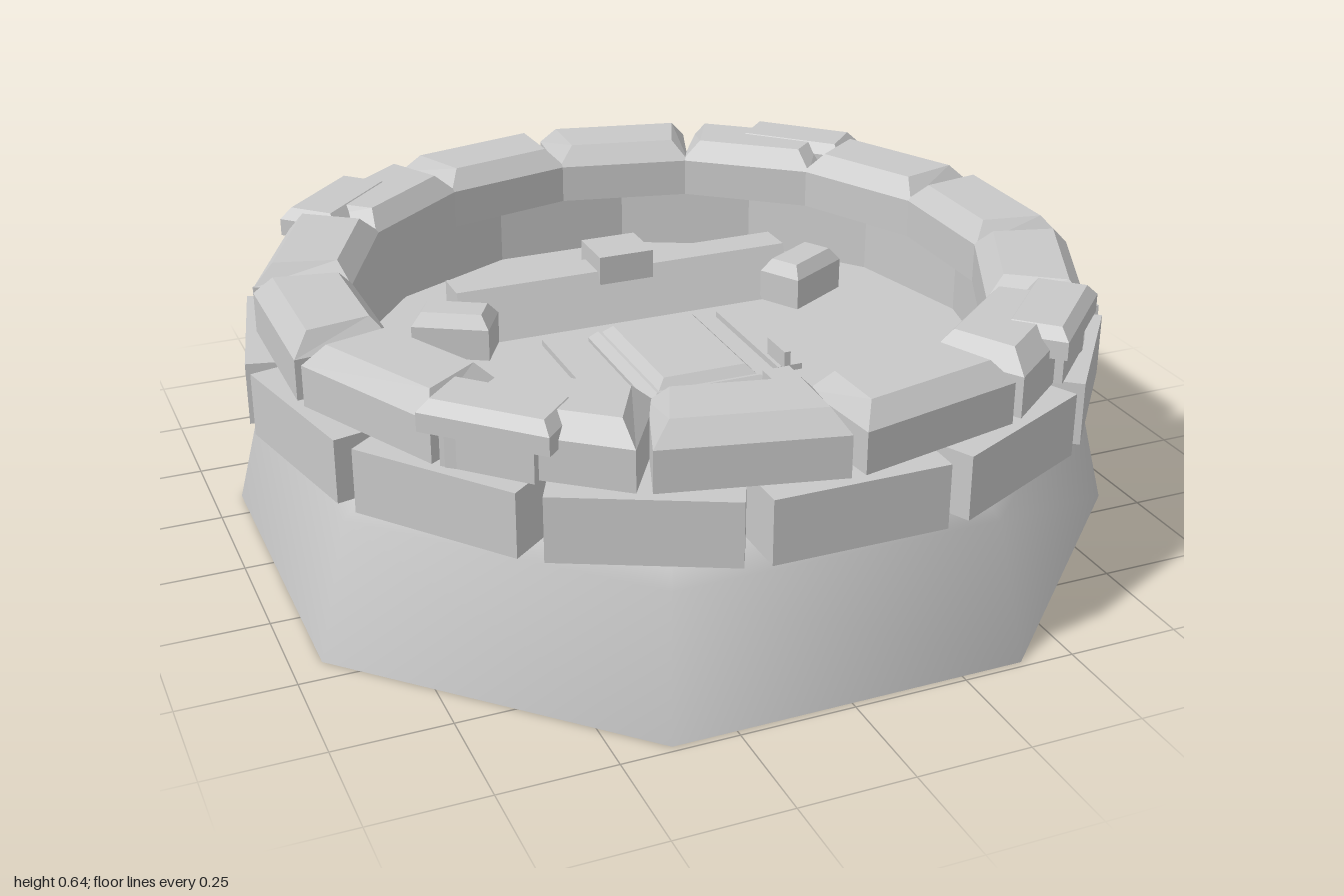
import * as THREE from 'three';

const grey = new THREE.MeshStandardMaterial({ color: 0xc8c8c8 });
grey.name = 'plainGrey';

const CZ = 0.05;      // centre of the ring and base along z
const FLOOR = 0.355;
const N = 14;         // blocks per ring

function add(parent, name, geometry, x = 0, y = 0, z = 0) {
  const mesh = new THREE.Mesh(geometry, grey);
  mesh.name = name;
  mesh.position.set(x, y, z);
  parent.add(mesh);
  return mesh;
}

// Box standing on y = 0 with bevelled top edges; its -z end can be narrower
function bevelBlock(w, h, d, bevelH = 0, inset = 0, taper = 1) {
  const g = new THREE.BoxGeometry(w, h, d, 1, 2, 1);
  const p = g.attributes.position;
  for (let i = 0; i < p.count; i++) {
    const top = p.getY(i) > 0.001 * h;
    const mid = Math.abs(p.getY(i)) < 0.001 * h;
    const cut = top ? inset : 0;
    const narrow = p.getZ(i) < 0 ? taper : 1;
    p.setXYZ(i,
      Math.sign(p.getX(i)) * (w / 2 * narrow - cut),
      mid ? h - bevelH : top ? h : 0,
      Math.sign(p.getZ(i)) * (d / 2 - cut));
  }
  const flat = g.toNonIndexed();
  flat.computeVertexNormals();
  return flat;
}

// Place a block so its +z side faces outward at the given angle
function radial(parent, name, geometry, angle, r, y) {
  const mesh = add(parent, name, geometry, Math.sin(angle) * r, y, Math.cos(angle) * r);
  mesh.rotation.y = angle;
  return mesh;
}

function octagon(apothem) {
  return new THREE.CircleGeometry(apothem / Math.cos(Math.PI / 8), 8, Math.PI / 8);
}

export function createModel() {
  const model = new THREE.Group();
  model.name = 'roundEmplacement';
  const body = new THREE.Group();
  body.name = 'body';
  body.position.z = CZ;
  model.add(body);

  // Octagonal flared base with smooth sides
  const k = 1 / Math.cos(Math.PI / 8);
  const profile = [[0.935, 0], [0.865, 0.3], [0.8, FLOOR]].map(([r, y]) => new THREE.Vector2(r * k, y));
  add(body, 'baseWall', new THREE.LatheGeometry(profile, 8, Math.PI / 8));
  add(body, 'baseUnderside', octagon(0.935).rotateX(Math.PI / 2));
  add(body, 'floor', octagon(0.8).rotateX(-Math.PI / 2), 0, FLOOR);
  add(body, 'floorPlate', new THREE.CylinderGeometry(0.65 * k, 0.65 * k, 0.006, 8, 1, false, Math.PI / 8), 0, FLOOR + 0.003);

  // Two staggered rings of blocks
  const lower = bevelBlock(0.376, 0.14, 0.225);
  const upper = bevelBlock(0.38, 0.135, 0.212, 0.045, 0.037, 0.87);
  for (let i = 0; i < N; i++) {
    const a = i / N * Math.PI * 2;
    radial(body, 'lowerRingBlock', lower, a, 0.8325, 0.36);
    radial(body, 'upperRingBlock', upper, a + Math.PI / N, 0.796, 0.5);
  }

  // Four clamps over the upper ring
  const clampTop = bevelBlock(0.28, 0.065, 0.145, 0.025, 0.02);
  const clampLeg = bevelBlock(0.2, 0.07, 0.06);
  for (let i = 0; i < 4; i++) {
    const a = Math.PI / 4 + i * Math.PI / 2;
    radial(body, 'clampTop', clampTop, a, 0.857, 0.572);
    radial(body, 'clampLeg', clampLeg, a, 0.885, 0.5);
  }

  // Console bar with a steep front face
  const section = new THREE.Shape([[0.175, 0], [0.235, 0.12], [0.32, 0.12], [0.32, 0]]
    .map(([x, y]) => new THREE.Vector2(x, y)));
  const bar = new THREE.ExtrudeGeometry(section, { depth: 0.835, bevelEnabled: false });
  bar.translate(0, 0, -0.4175).rotateY(Math.PI / 2);
  add(model, 'consoleBar', bar, 0, FLOOR, 0);
  add(model, 'consoleBlock', bevelBlock(0.135, 0.16, 0.125), 0, FLOOR, -0.283);

  // Side units and floor strips
  for (const s of [-1, 1]) {
    const unit = add(model, 'sideUnit', bevelBlock(0.18, 0.11, 0.11, 0.03, 0.02), s * 0.44, FLOOR, -0.18);
    unit.rotation.y = s * 0.52;
    add(model, 'floorStrip', bevelBlock(0.06, 0.02, 0.345), s * 0.22, FLOOR, 0.05);
  }

  // Stepped seat panel in the middle
  add(model, 'seatFrame', bevelBlock(0.285, 0.035, 0.395, 0.02, 0.018), 0, FLOOR, 0.092);
  add(model, 'seatPad', bevelBlock(0.235, 0.055, 0.345, 0.02, 0.02), 0, FLOOR, 0.092);
  add(model, 'smallBox', bevelBlock(0.065, 0.05, 0.065), 0.155, FLOOR, 0.315);
  add(model, 'lever', bevelBlock(0.015, 0.06, 0.09), 0.207, FLOOR, 0.19);

  // Rear connector: hub with a circle of prongs
  const plug = new THREE.Group();
  plug.name = 'rearConnector';
  plug.position.set(0, 0.283, 0);
  model.add(plug);
  const flatCylinder = (r, len, sides) => {
    const g = new THREE.CylinderGeometry(r, r, len, sides).rotateX(Math.PI / 2).toNonIndexed();
    g.computeVertexNormals();
    return g;
  };
  add(plug, 'connectorHub', flatCylinder(0.1, 0.11, 8), 0, 0, -0.835);
  const prong = flatCylinder(0.028, 0.2, 6);
  for (let i = 0; i < 6; i++) {
    const a = i * Math.PI / 3;
    add(plug, 'connectorProng', prong, Math.cos(a) * 0.064, Math.sin(a) * 0.064, -0.9);
  }
  return model;
}
